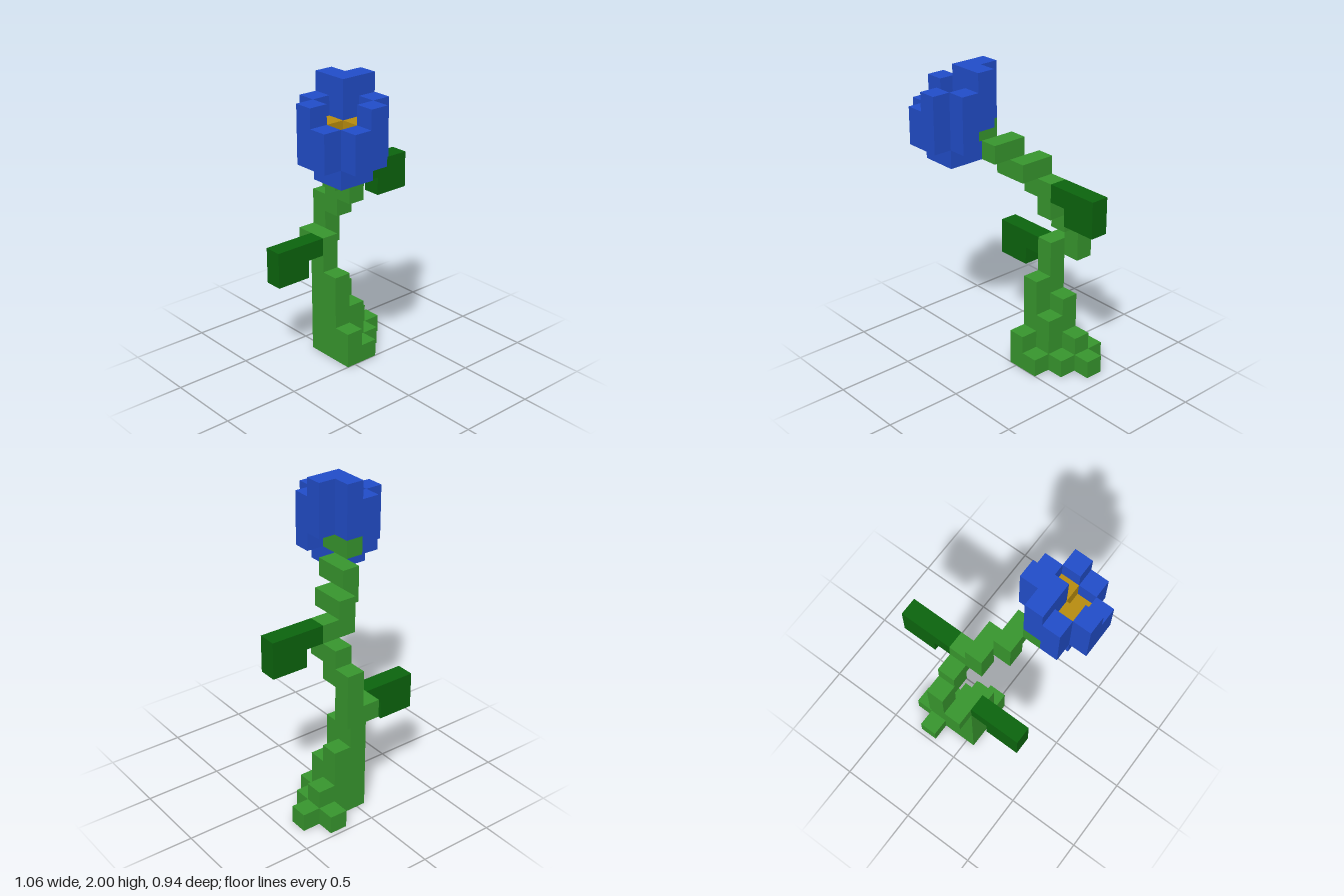
import * as THREE from 'three';

const U = 2 / 17; // one cube

const material = (name, color) => {
  const m = new THREE.MeshStandardMaterial({ color });
  m.name = name;
  return m;
};

export function createModel() {
  const model = new THREE.Group();
  model.name = 'blockFlower';
  const stemGreen = material('stemGreen', 0x38982e);
  const leafGreen = material('leafGreen', 0x0c660e);
  const petalBlue = material('petalBlue', 0x224ecb);
  const pollenGold = material('pollenGold', 0xba8e10);

  // Each block is [column, level, row, width, height, depth] in cubes
  function part(name, mat, blocks) {
    const group = new THREE.Group();
    group.name = name;
    for (const [i, j, k, w = 1, h = 1, d = 1] of blocks) {
      const mesh = new THREE.Mesh(new THREE.BoxGeometry(w * U, h * U, d * U), mat);
      mesh.name = name + 'Block';
      mesh.position.set((i + w / 2 - 4.5) * U, (j + h / 2) * U, (k + d / 2 - 4) * U);
      group.add(mesh);
    }
    model.add(group);
  }

  // Stepped roots around the foot
  part('roots', stemGreen, [
    [4, 0, 3, 1, 2, 1], [5, 0, 3], [5, 0, 2, 1, 3, 1], [5, 0, 1, 1, 4, 1],
    [6, 0, 2], [6, 0, 1, 1, 2, 1], [7, 0, 1], [6, 0, 0],
  ]);

  // Stem winding up to the flower
  part('stem', stemGreen, [
    [4, 0, 2, 1, 5, 1], [4, 0, 1, 1, 7, 1],
    [4, 6, 0], [5, 6, 0, 1, 3, 1],
    [5, 8, 1, 1, 2, 1], [5, 9, 2, 1, 2, 1], [4, 10, 2],
    [4, 11, 2, 1, 1, 2], [3, 11, 3],
    [3, 12, 3, 1, 1, 2], [2, 13, 4, 1, 1, 2],
  ]);

  // Drooping leaves
  part('lowerLeaf', leafGreen, [[1, 6, 1, 3, 1, 1], [1, 5, 1, 2, 1, 1]]);
  part('upperLeaf', leafGreen, [[6, 10, 2, 3, 1, 1], [7, 9, 2, 2, 1, 1]]);

  // Flower cup and its ring of petals
  part('flowerBase', petalBlue, [[1, 12, 5, 2, 1, 2]]);
  part('frontPetal', petalBlue, [[1, 13, 7, 1, 2, 1], [2, 13, 7, 1, 3, 1]]);
  part('rightPetal', petalBlue, [[0, 13, 6, 1, 2, 1], [0, 13, 5, 1, 3, 1]]);
  part('leftPetal', petalBlue, [[3, 13, 6, 1, 3, 1], [3, 14, 5, 1, 3, 1]]);
  part('backPetal', petalBlue, [[1, 13, 4, 1, 3, 1], [2, 14, 4, 1, 3, 2]]);

  // Pollen centre, lowest in the middle
  part('pollen', pollenGold, [[1, 13, 5, 1, 2, 1], [1, 13, 6], [2, 13, 6, 1, 2, 1]]);

  return model;
}
